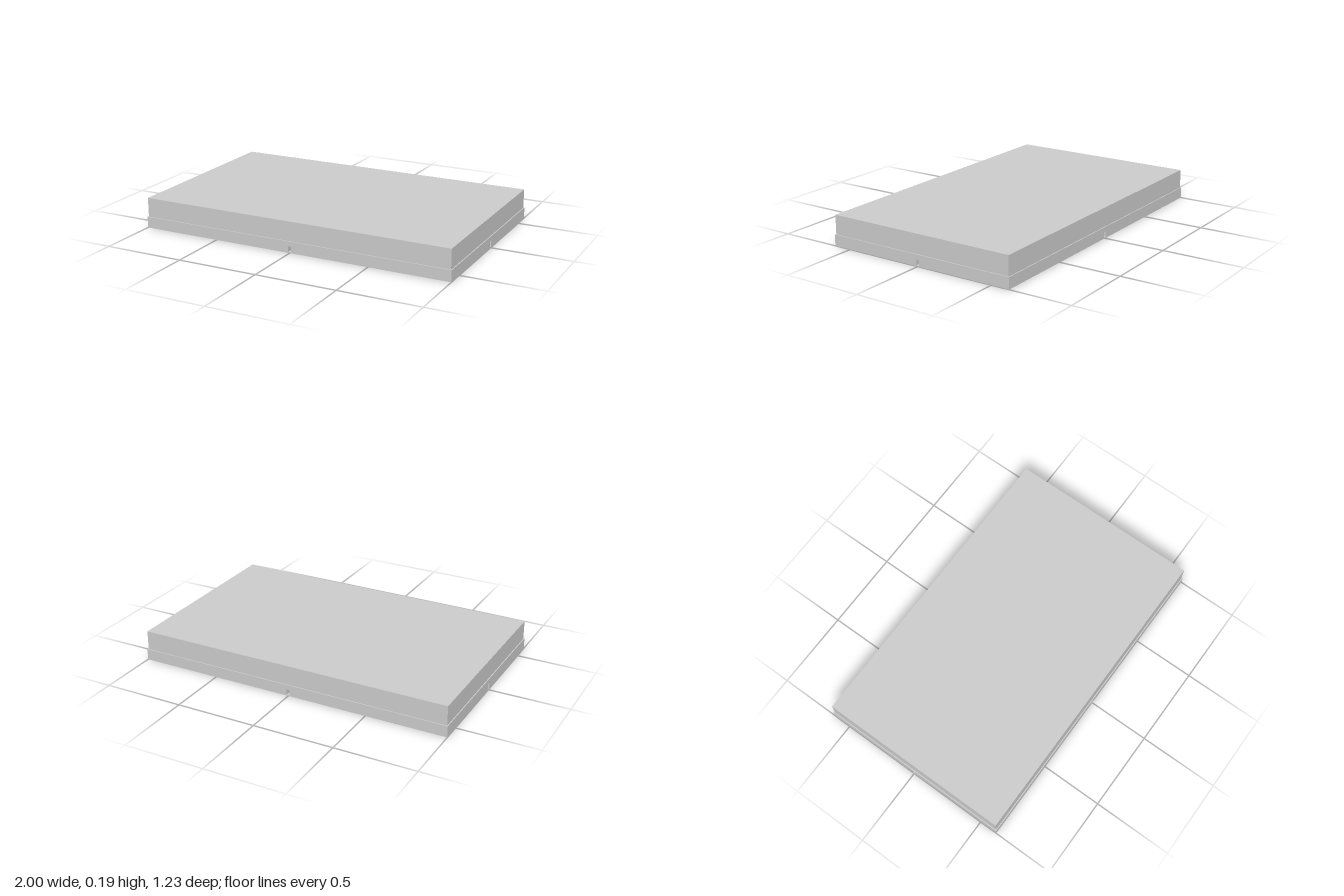
import * as THREE from 'three';

const W = 1, D = 0.615;            // half width and half depth of the base
const STEP = 0.07, TOP = 0.19;     // ledge height and total height
const LIP = 0.006;                 // ledge width, also the rim thickness
const POCKET = 0.058;              // depth of the underside pockets
const BX = 0.45, BZ = 0.295;       // half size of the central pad
const ARM = 0.063;                 // half width of the cross arms
const HW = 0.01, H0 = 0.006, H1 = 0.04; // cable hole: half width, bottom, top

const material = new THREE.MeshStandardMaterial({ color: 0xcccccc, flatShading: true, side: THREE.DoubleSide });

const toPath = (pts, Type = THREE.Path) => new Type(pts.map(([x, y]) => new THREE.Vector2(x, y)));
const rect = (x0, y0, x1, y1) => [[x0, y0], [x1, y0], [x1, y1], [x0, y1]];

// Flat sheet with optional holes
function sheet(outline, holes = []) {
  const shape = toPath(outline, THREE.Shape);
  shape.holes = holes.map((h) => toPath(h));
  return new THREE.ShapeGeometry(shape);
}

// Horizontal sheet facing down at height y; outline given in x, z
const level = (outline, y, holes) => sheet(outline, holes).rotateX(Math.PI / 2).translate(0, y, 0);

// Vertical walls along a closed x, z outline
function walls(pts, y0, y1) {
  const pos = [];
  pts.forEach(([ax, az], i) => {
    const [bx, bz] = pts[(i + 1) % pts.length];
    pos.push(ax, y0, az, bx, y0, bz, bx, y1, bz, ax, y0, az, bx, y1, bz, ax, y1, az);
  });
  const g = new THREE.BufferGeometry();
  g.setAttribute('position', new THREE.Float32BufferAttribute(pos, 3));
  g.computeVertexNormals();
  return g;
}

export function createModel() {
  const model = new THREE.Group();
  const add = (name, geometry, parent = model) => {
    const mesh = new THREE.Mesh(geometry, material);
    mesh.name = name;
    parent.add(mesh);
    return mesh;
  };

  // Upper slab, slightly smaller than the base
  add('upperSlab', new THREE.BoxGeometry(2 * (W - LIP), TOP - STEP, 2 * (D - LIP)))
    .position.y = (TOP + STEP) / 2;
  add('ledge', level(rect(-W, -D, W, D), STEP, [rect(-W + LIP, -D + LIP, W - LIP, D - LIP)]).scale(1, 1, -1));

  // Base sides, each with a cable hole in the middle
  const hole = rect(-HW, H0, HW, H1);
  for (const [name, half, dist, turn] of [
    ['frontSide', W, D, 0], ['leftSide', D, W, 1], ['backSide', W, D, 2], ['rightSide', D, W, 3],
  ]) {
    const g = sheet(rect(-half, 0, half, STEP), [hole]);
    add(name, g.translate(0, 0, dist).rotateY(turn * Math.PI / 2));
  }

  // Four L-shaped pockets that leave a cross and a central pad
  const px = W - LIP, pz = D - LIP;
  const corner = [[ARM, pz], [ARM, BZ], [BX, BZ], [BX, ARM], [px, ARM], [px, pz]];
  const pockets = [];
  for (const sx of [1, -1]) for (const sz of [1, -1]) pockets.push(corner.map(([x, z]) => [x * sx, z * sz]));
  add('underside', level(rect(-W, -D, W, D), 0, pockets));
  for (const p of pockets) {
    const group = new THREE.Group();
    group.name = 'pocket';
    add('pocketWalls', walls(p, 0, POCKET), group);
    add('pocketCeiling', level(p, POCKET), group);
    model.add(group);
  }

  // Crossing cable tunnels running from side to side
  for (let i = 0; i < 4; i++) {
    const length = (i % 2 ? W : D) - HW;
    const duct = walls(rect(-HW, H0, HW, H1), HW, HW + length).rotateX(Math.PI / 2);
    // the rotation turns the duct's height axis along z and flips its section
    duct.translate(0, H0 + H1 - (H0 + H1) / 2 + (H0 + H1) / 2, 0);
    add('tunnel', duct.rotateY(i * Math.PI / 2));
  }
  for (const y of [H0, H1]) add('tunnelCrossing', level(rect(-HW, -HW, HW, HW), y));

  return model;
}
